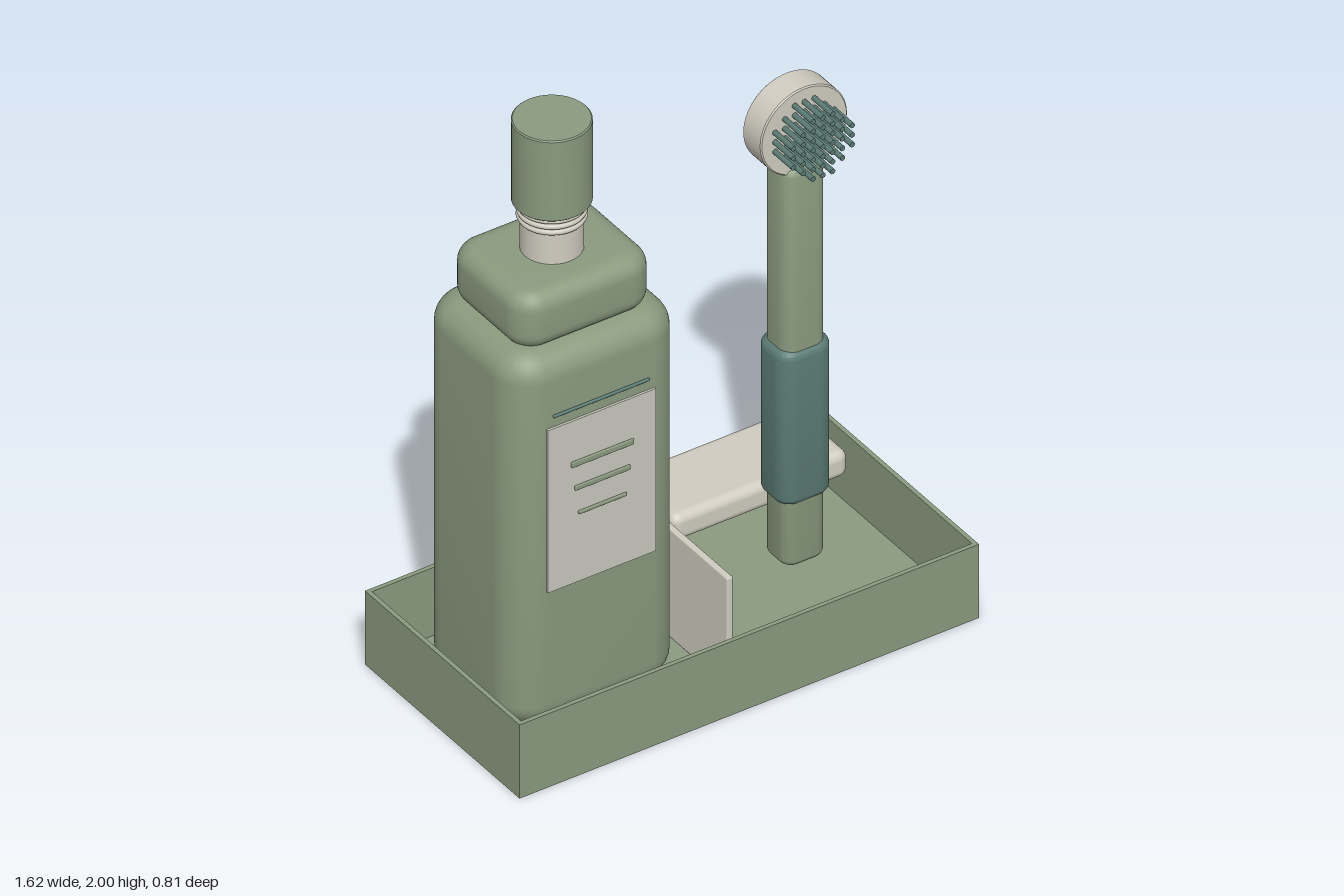
import * as THREE from 'three';
import { toCreasedNormals } from 'three/addons/utils/BufferGeometryUtils.js';
import { RoundedBoxGeometry } from 'three/addons/geometries/RoundedBoxGeometry.js';

const mat = (name, color) => {
  const m = new THREE.MeshStandardMaterial({ color });
  m.name = name;
  return m;
};

export function createModel() {
  const green = mat('sage green', 0x8a9a7e);
  const cream = mat('cream', 0xd0ccc0);
  const paper = mat('label grey', 0xc8c7be);
  const teal = mat('deep teal', 0x5b7b74);

  const group = (name, parent) => {
    const g = new THREE.Group();
    g.name = name;
    if (parent) parent.add(g);
    return g;
  };
  const add = (parent, name, geo, material, x, y, z) => {
    const m = new THREE.Mesh(geo, material);
    m.name = name;
    m.position.set(x, y, z);
    parent.add(m);
    return m;
  };
  // Box given by its extents, optionally with rounded edges
  const box = (parent, name, material, x0, x1, y0, y1, z0, z1, r = 0) => {
    const s = [x1 - x0, y1 - y0, z1 - z0];
    const geo = r ? new RoundedBoxGeometry(...s, 5, r) : new THREE.BoxGeometry(...s);
    return add(parent, name, geo, material, (x0 + x1) / 2, (y0 + y1) / 2, (z0 + z1) / 2);
  };
  // Upright block with corner radius r in plan and edge rounding b at top and bottom
  const softBlock = (parent, name, material, x0, x1, y0, y1, z0, z1, r, b) => {
    const w = (x1 - x0) / 2 - b, d = (z1 - z0) / 2 - b, c = r - b;
    const s = new THREE.Shape();
    s.absarc(w - c, d - c, c, 0, Math.PI / 2);
    s.absarc(-w + c, d - c, c, Math.PI / 2, Math.PI);
    s.absarc(-w + c, -d + c, c, Math.PI, Math.PI * 1.5);
    s.absarc(w - c, -d + c, c, Math.PI * 1.5, Math.PI * 2);
    s.closePath();
    let geo = new THREE.ExtrudeGeometry(s, {
      depth: y1 - y0 - 2 * b, bevelEnabled: true, bevelSize: b, bevelThickness: b,
      bevelSegments: 8, curveSegments: 10,
    });
    geo.translate(0, 0, b);
    geo.rotateX(-Math.PI / 2);
    geo = toCreasedNormals(geo, 0.6);
    return add(parent, name, geo, material, (x0 + x1) / 2, y0, (z0 + z1) / 2);
  };

  const model = group('bathroomSet');

  // Open tray with thin walls and a divider
  const tray = group('tray', model);
  box(tray, 'trayFloor', green, -0.81, 0.81, 0, 0.02, -0.405, 0.405);
  for (const s of [-1, 1]) {
    const z = s * 0.3975, x = s * 0.8025;
    box(tray, 'trayLongWall', green, -0.795, 0.795, 0.015, 0.265, z - 0.0075, z + 0.0075);
    box(tray, 'trayEndWall', green, x - 0.0075, x + 0.0075, 0.015, 0.265, -0.405, 0.405);
  }
  box(tray, 'divider', cream, -0.011, 0.011, 0.02, 0.41, -0.305, 0.305, 0.005);

  // Bottle with shoulder, threaded neck and cap
  const bottle = group('bottle', model);
  const bx = -0.38, bz = -0.065;
  softBlock(bottle, 'bottleBody', green, -0.68, -0.08, 0.02, 1.355, -0.32, 0.19, 0.12, 0.09);
  softBlock(bottle, 'bottleShoulder', green, -0.62, -0.14, 1.34, 1.54, -0.267, 0.137, 0.09, 0.06);
  add(bottle, 'neck', new THREE.CylinderGeometry(0.095, 0.095, 0.2, 48), cream, bx, 1.63, bz);
  for (let i = 0; i < 3; i++) {
    const ring = add(bottle, 'neckThread', new THREE.TorusGeometry(0.097, 0.009, 8, 48), cream,
      bx, 1.657 + i * 0.02, bz);
    ring.rotation.x = Math.PI / 2;
  }
  const capProfile = [[0, 0], [0.116, 0], [0.12, 0.004], [0.12, 0.286], [0.116, 0.29], [0, 0.29]]
    .map(([x, y]) => new THREE.Vector2(x, y));
  add(bottle, 'cap', toCreasedNormals(new THREE.LatheGeometry(capProfile, 48), 0.5), green, bx, 1.71, bz);

  // Front label with plain bars
  box(bottle, 'label', paper, -0.57, -0.19, 0.52, 1.105, 0.19, 0.198);
  for (const [y, w, h] of [[0.95, 0.22, 0.02], [0.862, 0.195, 0.017], [0.77, 0.17, 0.012]]) {
    box(bottle, 'labelBar', green, bx - w / 2, bx + w / 2, y - h / 2, y + h / 2, 0.197, 0.205, 0.0035);
  }
  box(bottle, 'accentBar', teal, -0.55, -0.21, 1.14, 1.15, 0.19, 0.199, 0.004);

  // Soap bar
  box(model, 'soapBar', cream, 0.05, 0.67, 0.285, 0.38, -0.345, -0.065, 0.03);

  // Brush with grip, round head and bristles
  const brush = group('brush', model);
  const hx = 0.405, hy = 1.732;
  softBlock(brush, 'brushHandle', green, 0.33, 0.48, 0.18, 1.612, -0.025, 0.11, 0.045, 0.03);
  softBlock(brush, 'brushGrip', teal, 0.313, 0.498, 0.41, 0.965, -0.038, 0.122, 0.055, 0.03);
  const headProfile = [[0, -0.048], [0.149, -0.048], [0.153, -0.044], [0.153, 0.044], [0.149, 0.048], [0, 0.048]]
    .map(([x, y]) => new THREE.Vector2(x, y));
  const head = add(brush, 'brushHead', toCreasedNormals(new THREE.LatheGeometry(headProfile, 56), 0.5),
    cream, hx, hy, 0.043);
  head.rotation.x = Math.PI / 2;
  const bristles = group('bristles', brush);
  const bristle = new THREE.CylinderGeometry(0.009, 0.009, 0.11, 10);
  bristle.rotateX(Math.PI / 2);
  for (let i = -3; i <= 3; i++) {
    for (let j = -3; j <= 3; j++) {
      if (i * i + j * j > 10) continue;
      add(bristles, 'bristle', bristle, teal, hx + i * 0.0345, hy + j * 0.0345, 0.135);
    }
  }
  return model;
}
